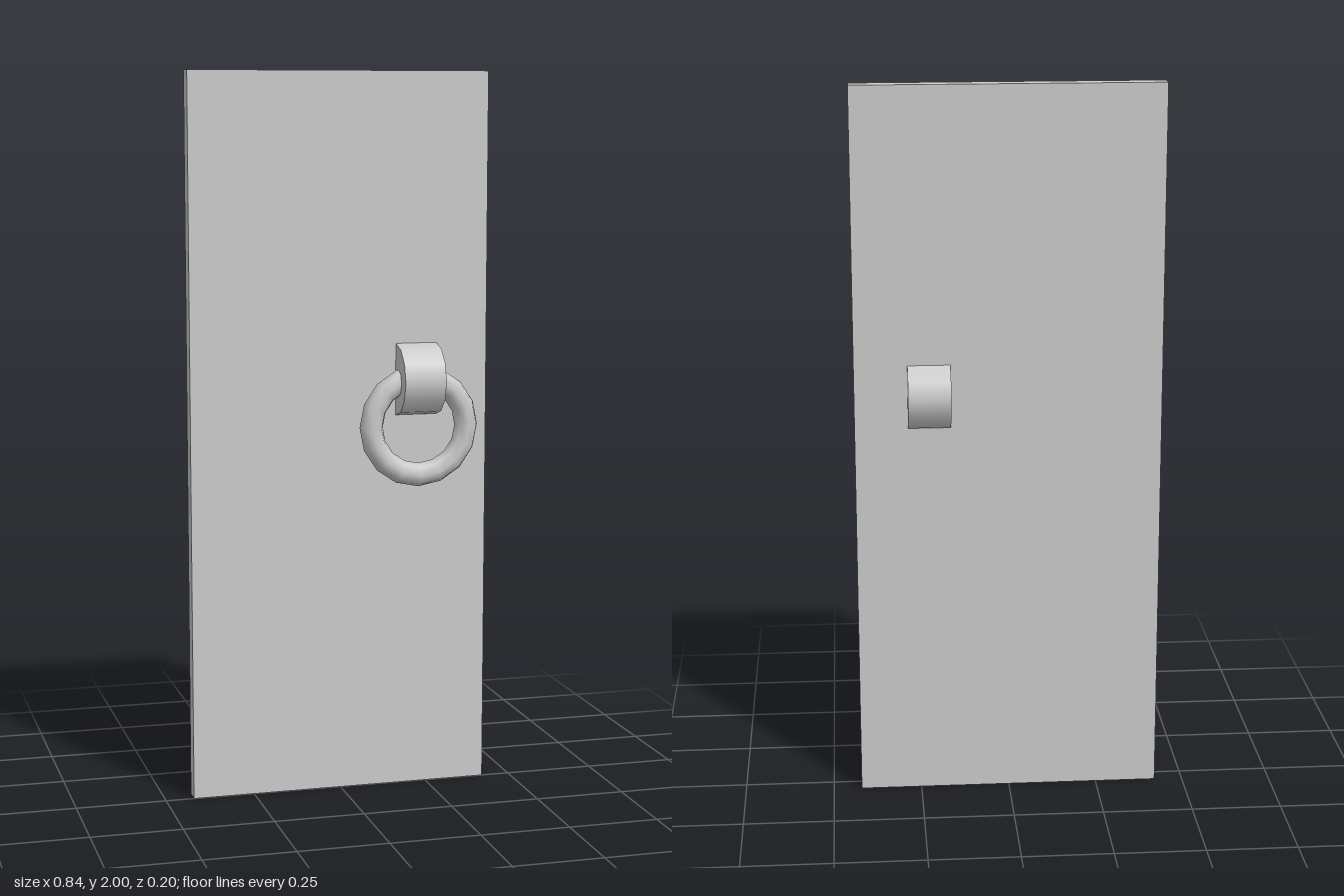
import * as THREE from 'three';

export function createModel() {
  const group = new THREE.Group();
  group.name = 'doorWithRingHandle';
  const material = new THREE.MeshStandardMaterial({ color: 0xcccccc });

  const add = (name, geometry, x, y, z) => {
    const mesh = new THREE.Mesh(geometry, material);
    mesh.name = name;
    mesh.position.set(x, y, z);
    group.add(mesh);
    return mesh;
  };

  // Flat door slab, front face on z = 0
  add('doorPanel', new THREE.BoxGeometry(0.842, 2, 0.046), 0, 1, -0.023);

  // Sideways drum passing through the panel, holding the ring
  const drum = new THREE.CylinderGeometry(0.1, 0.1, 0.117, 12).rotateZ(Math.PI / 2);
  add('handleMount', drum, 0.217, 1.156, -0.001);

  // Hanging pull ring
  add('handleRing', new THREE.TorusGeometry(0.137, 0.033, 8, 16), 0.218, 1.027, 0.025);

  return group;
}
